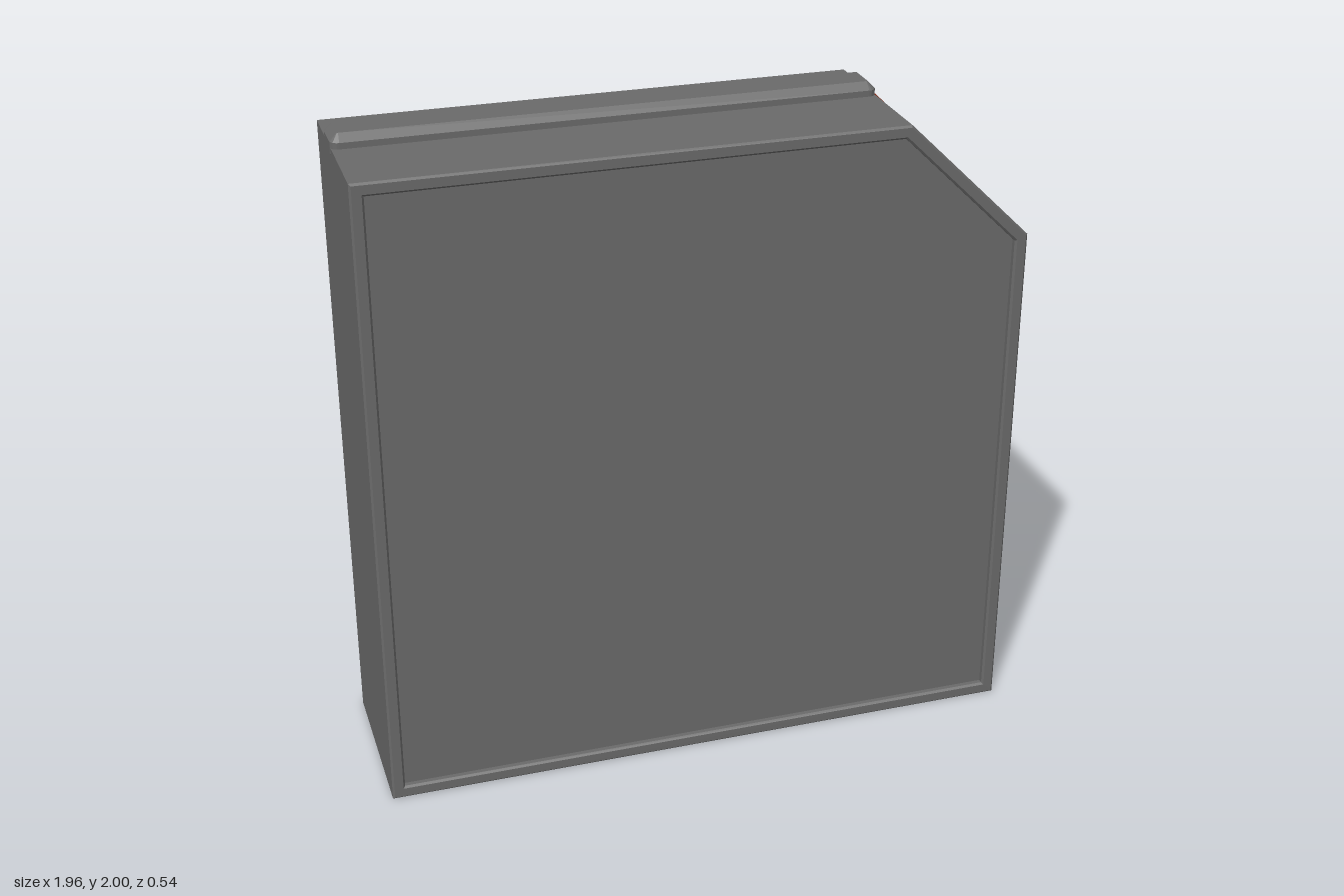
import * as THREE from 'three';

const std = (name, color) => {
  const m = new THREE.MeshStandardMaterial({ color });
  m.name = name;
  return m;
};

const shapeOf = (pts) => new THREE.Shape(pts.map(([x, y]) => new THREE.Vector2(x, y)));

// rectangle with softened corners
function roundedRect(x0, y0, x1, y1, r) {
  const s = new THREE.Shape();
  s.moveTo(x0 + r, y0);
  s.lineTo(x1 - r, y0).quadraticCurveTo(x1, y0, x1, y0 + r);
  s.lineTo(x1, y1 - r).quadraticCurveTo(x1, y1, x1 - r, y1);
  s.lineTo(x0 + r, y1).quadraticCurveTo(x0, y1, x0, y1 - r);
  s.lineTo(x0, y0 + r).quadraticCurveTo(x0, y0, x0 + r, y0);
  return s;
}

// square outline with one cut corner, inset by d
const outline = (d) => [
  [-0.98 + d, d], [0.98 - d, d], [0.98 - d, 1.59 - d * 0.42],
  [0.6 - d * 0.42, 1.96 - d], [-0.98 + d, 1.96 - d],
];

export function createModel() {
  const model = new THREE.Group();
  const grey = std('casing grey', 0x6a6a6a);
  const black = std('vent black', 0x0a0a0a);
  const red = std('rail red', 0x80240f);

  const add = (parent, name, geo, mat) => {
    const mesh = new THREE.Mesh(geo, mat);
    mesh.name = name;
    parent.add(mesh);
    return mesh;
  };
  const extrude = (shape, depth, bevel = 0) => new THREE.ExtrudeGeometry(shape, {
    depth: depth - 2 * bevel, curveSegments: 4, bevelEnabled: bevel > 0,
    bevelSize: bevel, bevelThickness: bevel, bevelSegments: 1,
  }).translate(0, 0, bevel);

  // casing, with a shallow notch along the cut corner
  const n = 0.0141;
  const casing = shapeOf([
    [-0.98, 0], [0.98, 0], [0.98, 1.59], [0.965, 1.605], [0.965 - n, 1.605 - n],
    [0.615 - n, 1.945 - n], [0.615, 1.945], [0.6, 1.96], [-0.98, 1.96],
  ]);
  add(model, 'casing', extrude(casing, 0.504).translate(0, 0, -0.252), grey);

  // raised rims around the front and back panels
  const bevel = 0.006;
  for (const [name, z] of [['frontRim', 0.246], ['backRim', -0.272]]) {
    const ring = shapeOf(outline(bevel));
    ring.holes.push(new THREE.Path(outline(0.033).map(([x, y]) => new THREE.Vector2(x, y))));
    add(model, name, extrude(ring, 0.026, bevel).translate(0, 0, z), grey);
  }

  // bevelled ridge along the top
  const ridge = extrude(roundedRect(-0.96, -0.015, 0.58, 0.075, 0.004), 0.08, 0.022);
  ridge.rotateX(-Math.PI / 2).translate(0, 1.92, -0.04);
  add(model, 'topRidge', ridge, grey);

  // cut-corner fittings: local x runs down the slope, y to the back, z outward
  const corner = new THREE.Group();
  corner.name = 'cornerFittings';
  const slope = new THREE.Vector3(0.38, -0.37, 0).normalize();
  const normal = new THREE.Vector3(0.37, 0.38, 0).normalize();
  corner.quaternion.setFromRotationMatrix(
    new THREE.Matrix4().makeBasis(slope, new THREE.Vector3(0, 0, -1), normal));
  corner.position.set(0.79, 1.775, 0);
  model.add(corner);

  add(corner, 'divider', new THREE.BoxGeometry(0.49, 0.012, 0.02).translate(0, -0.004, -0.011), grey);

  const vent = () => roundedRect(-0.21, -0.236, 0.21, -0.02, 0.02);
  const frame = roundedRect(-0.243, -0.25, 0.243, -0.01, 0.004);
  frame.holes.push(vent());
  add(corner, 'ventFrame', extrude(frame, 0.009).translate(0, 0, -0.021), grey);
  add(corner, 'ventPlate', extrude(vent(), 0.006).translate(0, 0, -0.021), black);

  // twin rails standing slightly proud of the slope
  for (const y of [0.092, 0.161]) {
    const rail = roundedRect(-0.232, y - 0.023, 0.232, y + 0.023, 0.002);
    add(corner, 'rail', extrude(rail, 0.026, 0.008).translate(0, 0, -0.021), red);
  }
  add(corner, 'railWeb', new THREE.BoxGeometry(0.47, 0.03, 0.012).translate(0, 0.1265, -0.015), red);

  return model;
}
